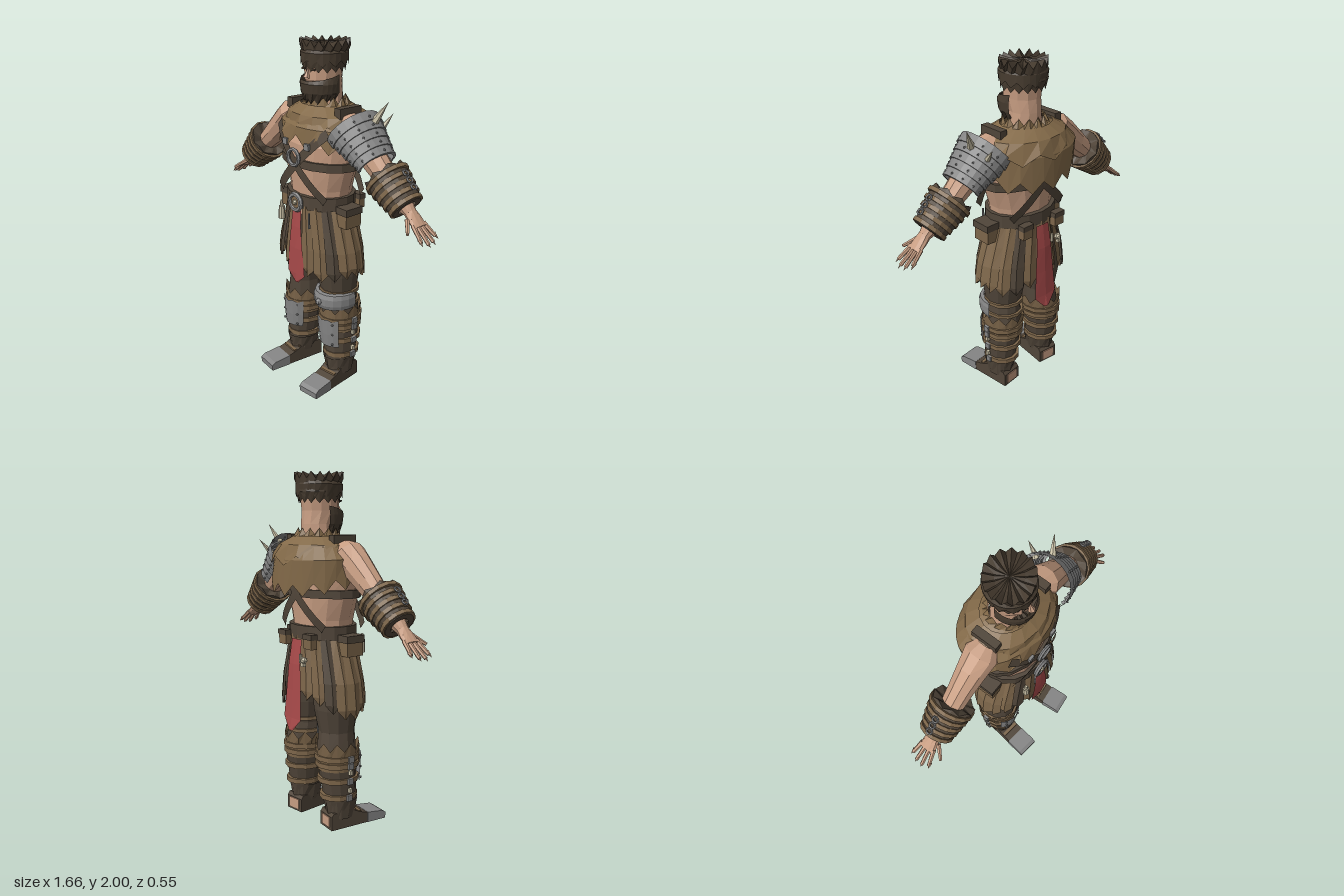
import * as THREE from 'three';

const D = THREE.DoubleSide;
const M = (name, color, side = THREE.FrontSide) => {
  const m = new THREE.MeshStandardMaterial({ color, side });
  m.name = name;
  return m;
};
const V = (x, y, z) => new THREE.Vector3(x, y, z);

export function createModel() {
  const skin = M('skin', 0xc79d82), leather = M('leather', 0x7d664a, D), dark = M('darkLeather', 0x51463a, D),
    fur = M('fur', 0x836a49, D), hair = M('hair', 0x463b2f, D), metal = M('metal', 0x858585, D),
    red = M('redCloth', 0xa84a4a, D), bone = M('bone', 0xc9c0a6);
  const model = new THREE.Group();
  model.name = 'warrior';

  // faceted mesh helper
  const add = (name, geo, mat, parent = model, pos) => {
    const g = geo.index ? geo.toNonIndexed() : geo;
    g.computeVertexNormals();
    const m = new THREE.Mesh(g, mat);
    m.name = name;
    if (pos) m.position.set(...pos);
    parent.add(m);
    return m;
  };
  const box = (name, size, pos, mat, parent) => add(name, new THREE.BoxGeometry(...size), mat, parent, pos);
  // stitches rows of points into a surface
  const grid = rows => {
    const p = [];
    const tri = (a, b, c) => {
      if (b.clone().sub(a).cross(c.clone().sub(a)).length() > 1e-8) for (const v of [a, b, c]) p.push(v.x, v.y, v.z);
    };
    for (let j = 0; j + 1 < rows.length; j++) for (let i = 0; i + 1 < rows[j].length; i++) {
      const a = rows[j][i], b = rows[j][i + 1], c = rows[j + 1][i + 1], d = rows[j + 1][i];
      tri(a, b, c);
      tri(a, c, d);
    }
    return new THREE.BufferGeometry().setAttribute('position', new THREE.Float32BufferAttribute(p, 3));
  };
  // rings, lowest first: [y, rx, rz, cx, cz, zigzag, tilt]; angle 0 is the front
  const loft = (rings, n = 12, { from = 0, to = Math.PI * 2, jitter = 0 } = {}) => grid(rings.map(
    ([y, rx, rz, cx = 0, cz = 0, zig = 0, tilt = 0], j) => Array.from({ length: n + 1 }, (_, i) => {
      const a = from + (to - from) * i / n, k = 1 + jitter * Math.sin((i % n) * 12.9 + j * 7.7);
      return V(cx + rx * k * Math.sin(a), y + (i % 2 ? zig * k : 0) + tilt * Math.cos(a), cz + rz * k * Math.cos(a));
    })));
  const band = (y, h, rx, rz, cx = 0, cz = 0, n = 12) => loft([
    [y - h / 2, rx * 0.8, rz * 0.8, cx, cz], [y - h / 2, rx, rz, cx, cz],
    [y + h / 2, rx, rz, cx, cz], [y + h / 2, rx * 0.8, rz * 0.8, cx, cz]], n);
  // cone from a base point to a tip
  const spike = (name, a, b, r, mat, parent) => {
    const d = b.clone().sub(a), g = new THREE.ConeGeometry(r, d.length(), 6);
    const m = add(name, g, mat, parent, a.clone().lerp(b, 0.5).toArray());
    m.quaternion.setFromUnitVectors(V(0, 1, 0), d.normalize());
  };

  // torso, neck and head
  add('torso', loft([[1.04, 0, 0], [1.04, 0.18, 0.145], [1.2, 0.2, 0.155], [1.33, 0.24, 0.165], [1.45, 0.265, 0.165],
    [1.56, 0.23, 0.14, 0, -0.02], [1.64, 0.11, 0.1, 0, -0.03]], 14), skin);
  add('head', loft([[1.58, 0.1, 0.09, 0, -0.04], [1.72, 0.088, 0.088, 0, -0.04], [1.79, 0.095, 0.108, 0, -0.015],
    [1.87, 0.1, 0.112, 0, -0.02], [1.94, 0.09, 0.1, 0, -0.025]], 12), skin);
  spike('nose', V(0, 1.8, 0.105), V(0, 1.855, 0.09), 0.02, skin);
  for (const s of [1, -1]) box('eye', [0.025, 0.01, 0.008], [s * 0.04, 1.845, 0.09], hair);
  add('hair', loft([[1.855, 0.112, 0.118, 0, -0.025, -0.025], [1.89, 0.122, 0.127, 0, -0.026],
    [1.93, 0.116, 0.122, 0, -0.026, -0.02], [1.96, 0.132, 0.132, 0, -0.026, 0.038],
    [1.965, 0.07, 0.07, 0, -0.025, 0.015], [1.985, 0, 0, 0, -0.025]], 32, { jitter: 0.04 }), hair);
  add('hairTufts', loft([[1.89, 0.124, 0.13, 0, -0.026, -0.03], [1.93, 0.128, 0.133, 0, -0.026], [1.95, 0.115, 0.12, 0, -0.026]],
    24, { jitter: 0.03 }), hair);
  add('beard', loft([[1.72, 0, 0], [1.685, 0.085, 0.095, 0, 0, -0.025], [1.72, 0.112, 0.115], [1.77, 0.118, 0.118],
    [1.81, 0.112, 0.112, 0, -0.005, 0, -0.025]], 16, { from: -1.85, to: 1.85, jitter: 0.03 }), hair);

  // fur mantle in two ragged layers
  add('mantle', loft([[1.45, 0.3, 0.225, 0, -0.045, -0.065, 0.055], [1.54, 0.295, 0.215, 0, -0.048, 0, 0.01],
    [1.6, 0.24, 0.175, 0, -0.045], [1.65, 0.14, 0.125, 0, -0.035], [1.665, 0.115, 0.11, 0, -0.03, 0.035]],
    26, { jitter: 0.045 }), fur);
  add('mantleUpper', loft([[1.56, 0.285, 0.215, 0, -0.05, -0.05, 0.01], [1.61, 0.245, 0.19, 0, -0.05],
    [1.655, 0.15, 0.13, 0, -0.04]], 18, { jitter: 0.05 }), fur);
  for (const s of [1, -1]) box('shoulderStrap', [0.045, 0.055, 0.15], [s * 0.197, 1.635, -0.015], dark);

  // chest harness: a band, crossed straps front and back, and a ring
  add('chestBand', band(1.347, 0.045, 0.265, 0.18, 0, 0, 16), dark);
  for (const f of [1, -1]) for (const s of [1, -1]) {
    const pts = Array.from({ length: 9 }, (_, i) => {
      const x = s * (-0.2 + 0.39 * i / 8), y = 1.54 - 0.38 * i / 8;
      return V(x, y, f * (0.176 * Math.sqrt(1 - (x / 0.27) ** 2) + 0.012));
    });
    const low = pts.map(p => p.clone().add(V(-s * 0.017, -0.02, 0))), high = pts.map(p => p.clone().add(V(s * 0.017, 0.02, 0)));
    add('crossStrap', grid(s * f > 0 ? [low, high] : [high, low]), dark);
  }
  add('chestRing', new THREE.TorusGeometry(0.045, 0.011, 6, 12), metal, model, [0, 1.385, 0.2]);
  for (const s of [1, -1]) box('shoulderBuckle', [0.035, 0.035, 0.015], [s * 0.09, 1.455, 0.18], metal);

  // belt, buckle and hanging gear
  add('belt', band(1.13, 0.075, 0.215, 0.178, 0, 0, 16), dark);
  add('buckleRing', new THREE.TorusGeometry(0.045, 0.014, 6, 14), metal, model, [0, 1.125, 0.188]);
  add('buckleDisc', new THREE.CylinderGeometry(0.035, 0.035, 0.02, 10).rotateX(Math.PI / 2), leather, model, [0, 1.125, 0.182]);
  add('buckleBoss', new THREE.IcosahedronGeometry(0.018), bone, model, [0, 1.125, 0.192]);
  for (const s of [1, -1]) {
    box('sidePouch', [0.075, 0.1, 0.11], [s * 0.243, 1.06, 0.01], leather);
    box('pouchFlap', [0.085, 0.04, 0.12], [s * 0.245, 1.105, 0.01], dark);
    box('backPouch', [0.07, 0.075, 0.04], [s * 0.12, 1.085, -0.175], leather);
    box('backPouchFlap', [0.076, 0.03, 0.045], [s * 0.12, 1.115, -0.177], dark);
  }
  add('flask', new THREE.CylinderGeometry(0.017, 0.02, 0.075, 8), bone, model, [-0.13, 1.03, 0.185]);
  add('flaskNeck', new THREE.CylinderGeometry(0.008, 0.011, 0.035, 6), bone, model, [-0.13, 1.083, 0.185]);
  box('chain', [0.008, 0.09, 0.01], [0.115, 1.045, 0.188], metal);
  add('skull', new THREE.IcosahedronGeometry(0.022), bone, model, [-0.1, 0.985, -0.205]);
  box('skullJaw', [0.022, 0.02, 0.02], [-0.1, 0.962, -0.21], bone);
  box('boneCharm', [0.012, 0.05, 0.012], [-0.06, 0.99, -0.2], bone);

  // skirt of pointed leather strips, open at the front
  const count = 20;
  for (let i = 1; i < count; i++) {
    const a = i / count * Math.PI * 2, drop = 0.03 * Math.sin(i * 5.3) - 0.05 * Math.abs(Math.sin(a));
    const row = (y, rx, rz, w) => [1, 0, -1].map(k => V(
      rx * Math.sin(a) + k * w * Math.cos(a) + (k ? 0 : 0.015 * Math.sin(a)), y,
      rz * Math.cos(a) - k * w * Math.sin(a) + (k ? 0 : 0.015 * Math.cos(a))));
    add('skirtStrip', grid([row(1.11, 0.19, 0.165, 0.03), row(0.98, 0.235, 0.172, 0.038), row(0.86, 0.275, 0.178, 0.045),
      row(0.79 + drop, 0.292, 0.182, 0.045), row(0.74 + drop, 0.292, 0.182, 0)]), i % 5 === 3 ? dark : leather);
  }

  // red loincloth, front and back
  const cloth = (f, rows) => add(f > 0 ? 'frontCloth' : 'backCloth',
    grid(rows.map(([y, z, w]) => [f * w, 0, -f * w].map(x => V(x, y, f * (z + (x ? 0 : 0.006)))))), red);
  cloth(1, [[1.08, 0.18, 0.035], [0.98, 0.188, 0.042], [0.85, 0.192, 0.058], [0.69, 0.19, 0.073], [0.635, 0.188, 0.015]]);
  cloth(-1, [[1.09, 0.18, 0.045], [0.95, 0.198, 0.055], [0.8, 0.205, 0.068], [0.64, 0.215, 0.08], [0.57, 0.228, 0.02]]);

  for (const s of [1, -1]) {
    // leg with wraps and straps
    const leg = new THREE.Group();
    leg.name = s > 0 ? 'leftLeg' : 'rightLeg';
    model.add(leg);
    add('trouserLeg', loft([[0.06, 0.07, 0.085, s * 0.172], [0.2, 0.088, 0.1, s * 0.168, -0.005], [0.35, 0.103, 0.113, s * 0.16, -0.015],
      [0.47, 0.105, 0.115, s * 0.15, -0.015], [0.57, 0.098, 0.105, s * 0.145, -0.01], [0.7, 0.12, 0.13, s * 0.14, -0.01],
      [0.9, 0.13, 0.145, s * 0.13], [1.08, 0.1, 0.13, s * 0.09]], 12), dark, leg);
    add('calfFringe', loft([[0.35, 0.108, 0.118, s * 0.158, -0.013], [0.43, 0.113, 0.123, s * 0.155, -0.013],
      [0.475, 0.124, 0.13, s * 0.152, -0.013, 0.045]], 20, { jitter: 0.02 }), leather, leg);
    add('ankleFringe', loft([[0.075, 0.074, 0.088, s * 0.17, 0, 0.03], [0.17, 0.092, 0.104, s * 0.167]], 16), dark, leg);
    for (const [y, rx, rz, cx] of [[0.425, 0.124, 0.133, 0.156], [0.385, 0.122, 0.131, 0.157], [0.295, 0.113, 0.123, 0.162], [0.195, 0.102, 0.112, 0.166]]) {
      add('calfStrap', band(y, 0.028, rx, rz, s * cx, -0.013), leather, leg);
      box('strapBuckle', [0.014, 0.034, 0.034], [s * (cx + rx), y, -0.013], metal, leg);
    }
    for (const y of [0.24, 0.345]) box('strapToggle', [0.018, 0.025, 0.018], [s * 0.272, y, -0.01], bone, leg);
    const shin = { from: -0.85, to: 0.85 };
    add('shinPlate', loft([[0.26, 0.108, 0.122, s * 0.163, -0.005], [0.34, 0.116, 0.13, s * 0.16, -0.005],
      [0.44, 0.12, 0.135, s * 0.157, -0.005, -0.012]], 6, shin), metal, leg);
    for (const y of [0.28, 0.345, 0.41]) for (const x of [-0.06, 0.06])
      add('shinRivet', new THREE.IcosahedronGeometry(0.008), metal, leg, [s * 0.16 + x, y, 0.107]);
    if (s > 0) {
      add('kneeGuard', loft([[0.5, 0.1, 0.115, 0.146], [0.505, 0.122, 0.135, 0.146], [0.53, 0.128, 0.145, 0.146],
        [0.57, 0.128, 0.145, 0.146], [0.595, 0.122, 0.135, 0.146], [0.6, 0.1, 0.115, 0.146]], 10, { from: -1.75, to: 1.75 }), metal, leg);
      add('kneeStud', new THREE.SphereGeometry(0.02, 8, 6), metal, leg, [0.146, 0.548, 0.145]);
      for (const y of [0.52, 0.595]) add('kneeStrap', band(y, 0.02, 0.113, 0.12, 0.146, -0.015), leather, leg);
    }

    // shoe turned slightly outward, metal toe cap, bare heel
    const foot = new THREE.Group();
    foot.name = 'foot';
    foot.position.x = s * 0.168;
    foot.rotation.y = s * 0.11;
    leg.add(foot);
    const side = (name, pts, w, mat) => add(name, new THREE.ExtrudeGeometry(
      new THREE.Shape(pts.map(p => new THREE.Vector2(...p))), { depth: w, bevelEnabled: false })
      .rotateY(-Math.PI / 2).translate(w / 2, 0, 0), mat, foot);
    side('shoe', [[-0.095, 0], [0.17, 0], [0.17, 0.055], [0.1, 0.075], [0.05, 0.1], [-0.08, 0.1], [-0.095, 0.08]], 0.125, dark);
    side('toeCap', [[0.15, 0], [0.275, 0], [0.278, 0.035], [0.255, 0.05], [0.15, 0.062]], 0.132, metal);
    box('heel', [0.08, 0.06, 0.008], [0, 0.045, -0.096], skin, foot);
    for (const z of [0.06, 0.1]) box('shoeLace', [0.11, 0.015, 0.02], [0, z > 0.08 ? 0.075 : 0.096, z], leather, foot);

    // arm built along its own -y axis; local s*x is the upper side
    const arm = new THREE.Group();
    arm.name = s > 0 ? 'leftArm' : 'rightArm';
    arm.position.set(s * 0.26, 1.545, -0.01);
    arm.rotation.z = s * 0.875;
    model.add(arm);
    add('armSkin', loft([[-0.62, 0, 0], [-0.62, 0.016, 0.048], [-0.57, 0.024, 0.044], [-0.53, 0.03, 0.035], [-0.48, 0.045, 0.045],
      [-0.4, 0.065, 0.065], [-0.3, 0.062, 0.064], [-0.2, 0.074, 0.07], [-0.08, 0.085, 0.082], [0.02, 0.085, 0.095], [0.08, 0.05, 0.06]], 10), skin, arm);
    for (let i = 0; i < 4; i++) {
      const z = 0.037 - i * 0.025, len = [0.1, 0.12, 0.115, 0.09][i];
      spike('fingerTip', V(0, -0.6 - len * 0.8, z * 1.5), V(0, -0.62 - len, z * 1.65), 0.011, skin, arm);
      const f = add('finger', new THREE.CylinderGeometry(0.013, 0.01, len, 6), skin, arm, [0, -0.6 - len / 2, z * 1.25]);
      f.rotation.x = -z * 5;
    }
    const thumb = add('thumb', new THREE.CylinderGeometry(0.014, 0.009, 0.09, 6), skin, arm, [-s * 0.008, -0.595, 0.068]);
    thumb.rotation.x = -0.65;

    // bracer with leather bands and rings
    add('bracer', loft([[-0.5, 0.05, 0.05], [-0.5, 0.082, 0.085], [-0.4, 0.104, 0.108], [-0.3, 0.112, 0.118, 0, 0, 0.02], [-0.3, 0.06, 0.06]], 16), dark, arm);
    for (let i = 0; i < 5; i++) {
      const r = 0.097 + 0.007 * i;
      add('bracerBand', band(-0.485 + i * 0.042, 0.022, r, r, 0, 0, 14), leather, arm);
    }
    for (let i = 0; i < 3; i++)
      add('bracerRing', new THREE.TorusGeometry(0.016, 0.006, 5, 8).rotateY(Math.PI / 2), metal, arm, [s * (0.118 + i * 0.004), -0.45 + i * 0.04, 0]);

    // layered shoulder guard on the left arm
    if (s > 0) {
      const arc = { from: Math.PI / 2 - 2.1, to: Math.PI / 2 + 2.1 };
      for (let i = 0; i < 5; i++) {
        const y = -0.21 + i * 0.046, rx = 0.088 + i * 0.011, rz = 0.118 + i * 0.01;
        add('shoulderPlate', loft([[y - 0.008, rx - 0.012, rz - 0.012], [y - 0.008, rx + 0.004, rz + 0.004], [y + 0.046, rx + 0.008, rz + 0.006]], 14, arc), metal, arm);
        for (let k = -3; k <= 3; k++)
          add('plateRivet', new THREE.OctahedronGeometry(0.008), metal, arm,
            [(rx + 0.007) * Math.cos(k * 0.6), y + 0.01, (rz + 0.006) * Math.sin(k * 0.6)]);
      }
    }
  }
  spike('frontSpike', V(0.37, 1.61, -0.04), V(0.43, 1.72, -0.08), 0.022, bone);
  spike('backSpike', V(0.34, 1.55, -0.12), V(0.36, 1.63, -0.19), 0.02, bone);
  return model;
}
